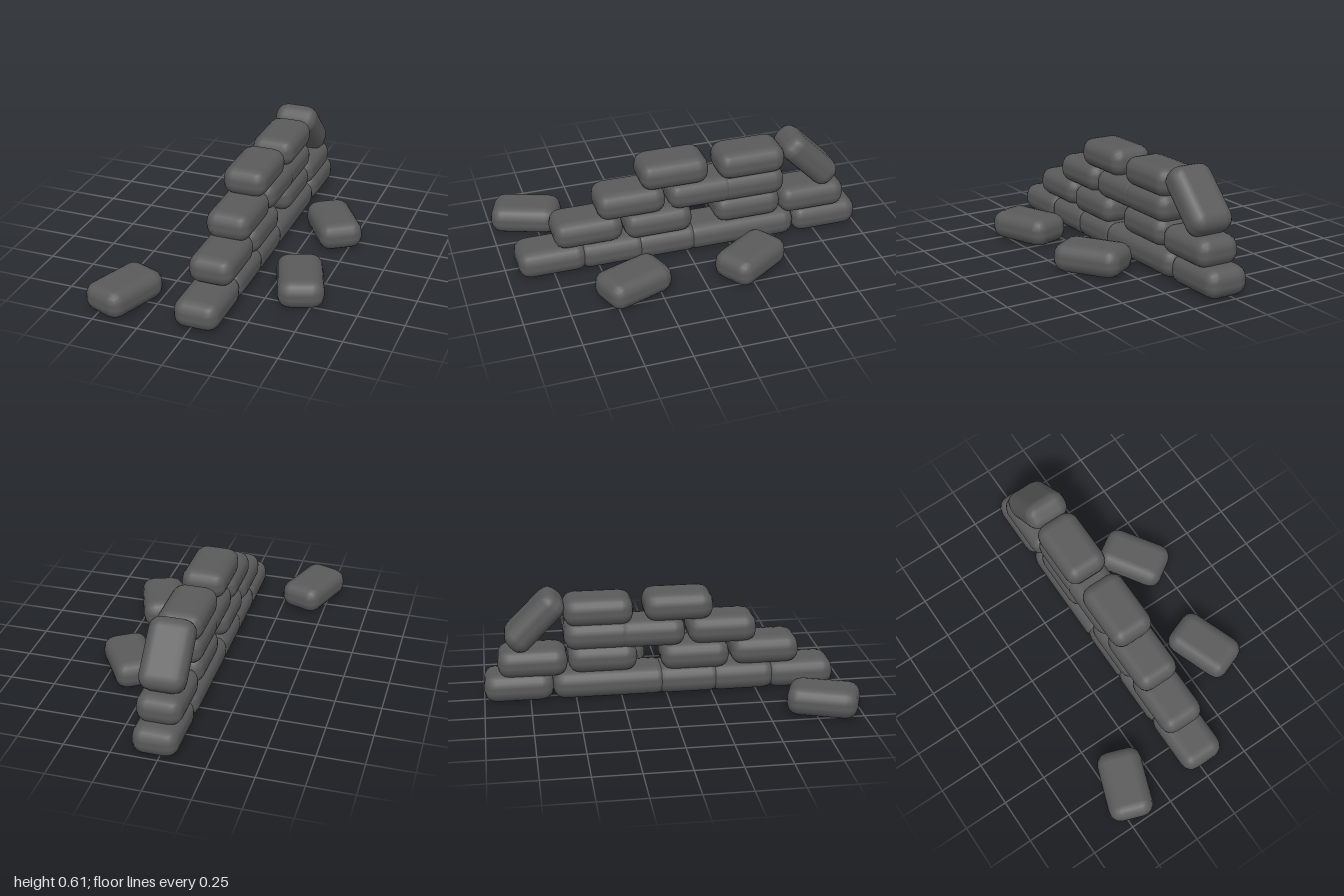
import * as THREE from 'three';
import { RoundedBoxGeometry } from 'three/addons/geometries/RoundedBoxGeometry.js';

const WIDTH = 0.245, HEIGHT = 0.157, LENGTH = 0.38;
const WALL_X = 0.028;

export function createModel() {
  const model = new THREE.Group();
  model.name = 'sandbagWall';

  const geometry = new RoundedBoxGeometry(WIDTH, HEIGHT, LENGTH, 2, 0.066);
  const material = new THREE.MeshStandardMaterial({ color: 0x5a5a5a });

  function addBag(parent, name, x, y, z, pitch = 0, yaw = 0) {
    const bag = new THREE.Mesh(geometry, material);
    bag.name = name;
    bag.position.set(x, y, z);
    bag.rotation.set(THREE.MathUtils.degToRad(pitch), THREE.MathUtils.degToRad(yaw), 0);
    parent.add(bag);
  }

  // Stacked courses, bottom to top: each bag is [z, y]
  const courses = [
    [[0.75, 0.083], [0.42, 0.083], [0.12, 0.083], [-0.18, 0.083], [-0.435, 0.083], [-0.81, 0.083]],
    [[0.55, 0.231], [0.16, 0.22], [-0.35, 0.231], [-0.732, 0.22]],
    [[0.31, 0.366], [-0.085, 0.363], [-0.37, 0.363]],
    [[0.068, 0.508], [-0.37, 0.498]],
  ];
  courses.forEach((bags, row) => {
    const course = new THREE.Group();
    course.name = `course${row + 1}`;
    bags.forEach(([z, y], i) => addBag(course, `sandbag${i + 1}`, WALL_X, y, z));
    model.add(course);
  });

  // Bag slumped against the back end of the wall
  addBag(model, 'slumpedSandbag', WALL_X, 0.447, -0.715, -45);

  // Loose bags lying on the ground: [x, z, yaw]
  const loose = new THREE.Group();
  loose.name = 'looseSandbags';
  [[0.382, -0.27, 33], [0.405, 0.39, 20], [-0.412, 0.795, -20]].forEach(([x, z, yaw], i) =>
    addBag(loose, `looseSandbag${i + 1}`, x, 0.083, z, 0, yaw));
  model.add(loose);

  return model;
}
